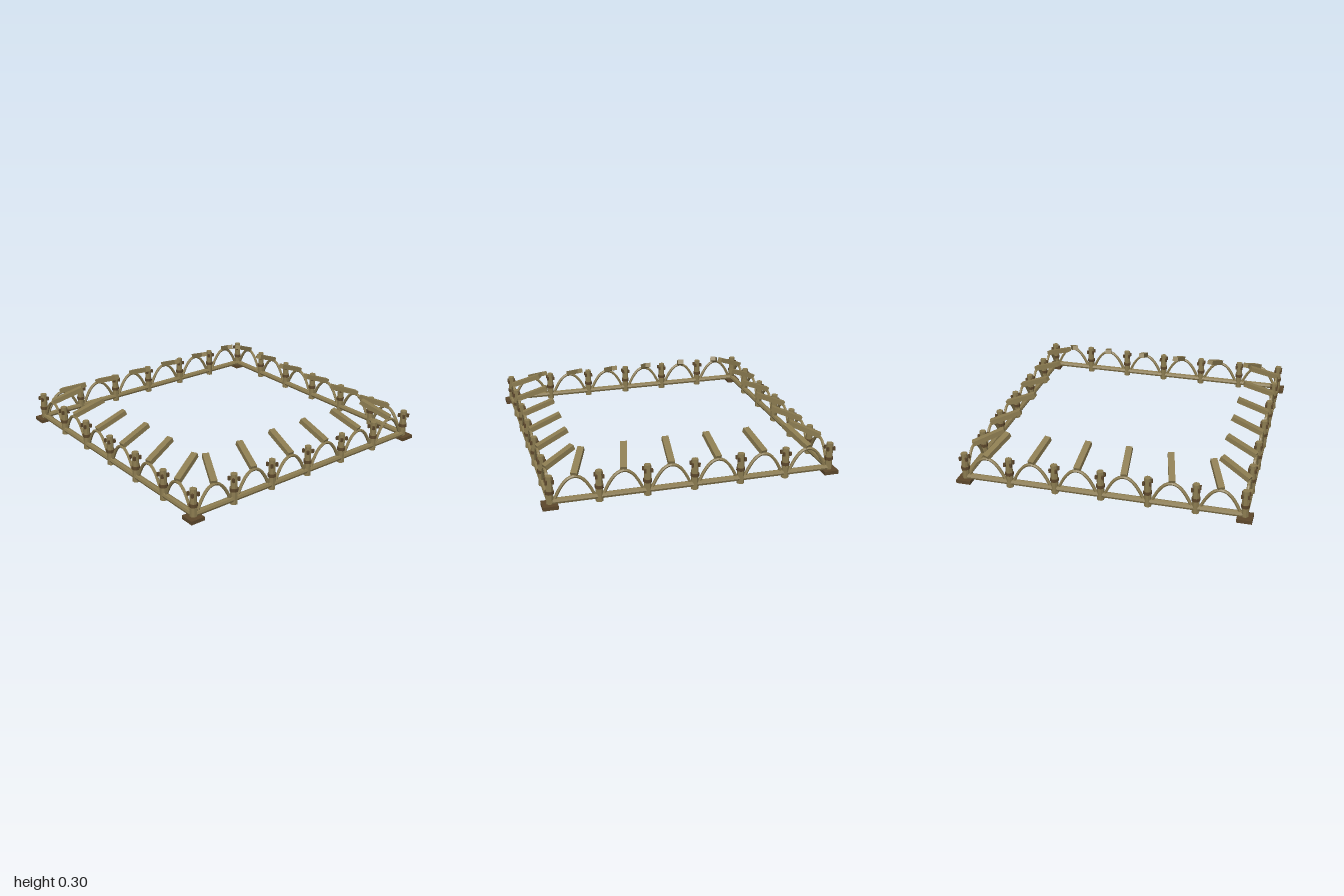
import * as THREE from 'three';

const wood = new THREE.MeshStandardMaterial({ color: 0x8b7b50, flatShading: true });
wood.name = 'weathered wood';
const dark = new THREE.MeshStandardMaterial({ color: 0x5c472b, flatShading: true });
dark.name = 'dark brown';

const EDGE = 0.947; // distance of each side from the centre
const BAY = (EDGE * 2) / 6;

function add(parent, name, geometry, material, x = 0, y = 0, z = 0) {
  const mesh = new THREE.Mesh(geometry, material);
  mesh.name = name;
  mesh.position.set(x, y, z);
  parent.add(mesh);
  return mesh;
}

// Shared geometries
const postGeo = new THREE.CylinderGeometry(0.023, 0.025, 0.212, 8).rotateY(Math.PI / 8);
const bandGeo = new THREE.CylinderGeometry(0.029, 0.029, 0.022, 8).rotateY(Math.PI / 8);
const studGeo = new THREE.BoxGeometry(0.014, 0.026, 0.014);
const railGeo = new THREE.CylinderGeometry(0.021, 0.021, EDGE * 2, 8).rotateZ(Math.PI / 2);
const rafterGeo = new THREE.BoxGeometry(0.043, 0.034, 0.235);
const archCurve = new THREE.CatmullRomCurve3(
  [-1, -0.8, -0.6, -0.4, -0.2, 0, 0.2, 0.4, 0.6, 0.8, 1].map(
    (t) => new THREE.Vector3(t * 0.137, 0.19 - 0.165 * Math.pow(Math.abs(t), 2.1), 0)
  )
);
const archGeo = new THREE.TubeGeometry(archCurve, 20, 0.011, 6);

// Post with a dark band and four studs near the top
function makePost(x, z) {
  const post = new THREE.Group();
  post.name = 'post';
  post.position.set(x, 0, z);
  add(post, 'postShaft', postGeo, wood, 0, 0.106, 0);
  add(post, 'postBand', bandGeo, dark, 0, 0.102, 0);
  for (const sx of [-1, 1]) {
    for (const sz of [-1, 1]) add(post, 'postStud', studGeo, dark, sx * 0.022, 0.177, sz * 0.022);
  }
  return post;
}

// One side of the square: rail, posts, arches and inward-leaning rafters
function makeSide() {
  const side = new THREE.Group();
  side.name = 'fenceSide';
  add(side, 'bottomRail', railGeo, wood, 0, 0.037, EDGE);
  for (let i = 0; i < 6; i++) {
    side.add(makePost(-EDGE + i * BAY, EDGE));
    const x = -EDGE + (i + 0.5) * BAY;
    add(side, 'arch', archGeo, wood, x, 0, EDGE);

    // Rafters fan toward the middle and rise inward
    const pivot = new THREE.Group();
    pivot.name = 'rafter';
    pivot.position.set(x, 0.203, EDGE);
    pivot.rotation.y = x * 0.52;
    const beam = add(pivot, 'rafterBeam', rafterGeo, wood, 0, 0.04, -0.106);
    beam.rotation.x = 0.37;
    side.add(pivot);
  }
  // Corner foot
  add(side, 'cornerFoot', new THREE.BoxGeometry(0.1, 0.025, 0.1), dark, -0.95, 0.0125, 0.95);
  return side;
}

export function createModel() {
  const model = new THREE.Group();
  model.name = 'squareFence';
  for (let i = 0; i < 4; i++) {
    const side = makeSide();
    side.rotation.y = (i * Math.PI) / 2;
    model.add(side);
  }
  return model;
}
